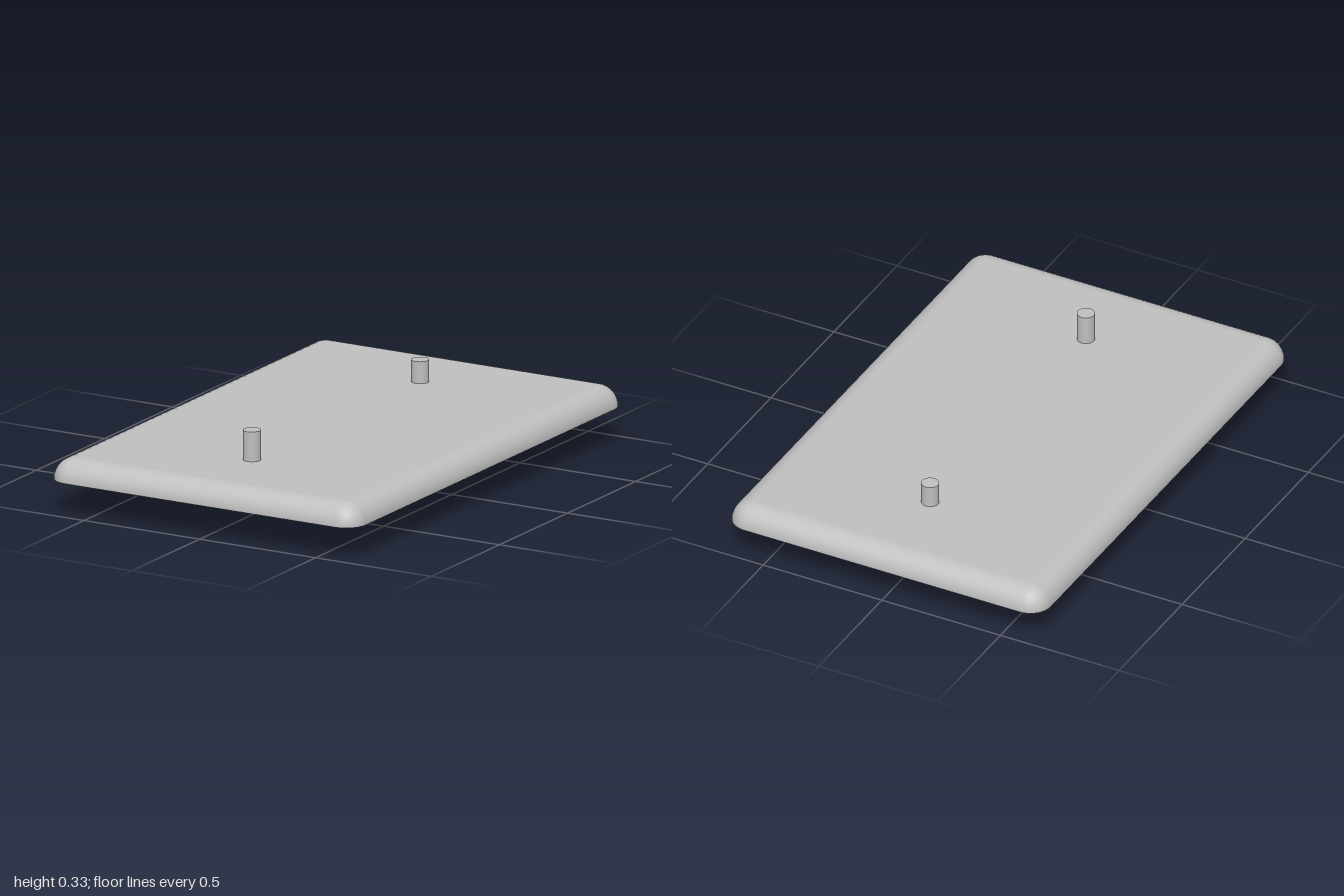
import * as THREE from 'three';

const BASE = 0.13;            // height of the rim
const R = 0.085, WALL = 0.03; // edge rounding and wall thickness
const CORE_X = 0.667 - R, CORE_Z = 1 - R;
const ARC = 8;                // segments per corner and per edge rounding

// Hollow rounded shell: each row is [radius, y, radial normal, vertical normal]
function shellGeometry() {
  const rows = [];
  for (let i = ARC; i >= 0; i--) { // outside, top to rim
    const t = (i / ARC) * Math.PI / 2, c = Math.cos(t), s = Math.sin(t);
    rows.push([R * c, BASE + R * s, c, s]);
  }
  rows.push([R, BASE, 0, -1], [R - WALL, BASE, 0, -1]); // rim underside
  for (let i = 0; i <= ARC; i++) { // inside, rim to ceiling
    const t = (i / ARC) * Math.PI / 2, c = Math.cos(t), s = Math.sin(t);
    rows.push([(R - WALL) * c, BASE + (R - WALL) * s, -c, -s]);
  }
  // Directions around the plate, one fan per corner
  const loop = [];
  [[1, 1], [-1, 1], [-1, -1], [1, -1]].forEach(([sx, sz], q) => {
    for (let i = 0; i <= ARC; i++) {
      const a = (q + i / ARC) * Math.PI / 2;
      loop.push([sx * CORE_X, sz * CORE_Z, Math.cos(a), Math.sin(a)]);
    }
  });
  const pos = [], nor = [], idx = [], n = loop.length;
  for (const [r, y, nr, ny] of rows) {
    for (const [x, z, dx, dz] of loop) {
      pos.push(x + r * dx, y, z + r * dz);
      nor.push(nr * dx, ny, nr * dz);
    }
  }
  for (let j = 0; j < rows.length - 1; j++) {
    if (j === ARC || j === ARC + 2) continue; // sharp edges share a position
    for (let i = 0; i < n; i++) {
      const k = (i + 1) % n;
      const a = j * n + i, b = j * n + k, c = a + n, d = b + n;
      idx.push(a, b, c, b, d, c);
    }
  }
  const g = new THREE.BufferGeometry();
  g.setAttribute('position', new THREE.Float32BufferAttribute(pos, 3));
  g.setAttribute('normal', new THREE.Float32BufferAttribute(nor, 3));
  g.setIndex(idx);
  return g;
}

export function createModel() {
  const model = new THREE.Group();
  model.name = 'coverPlate';
  const grey = new THREE.MeshStandardMaterial({ color: 0xc0c0c0 });
  grey.name = 'lightGrey';

  const add = (name, geometry, x = 0, y = 0, z = 0) => {
    const mesh = new THREE.Mesh(geometry, grey);
    mesh.name = name;
    mesh.position.set(x, y, z);
    model.add(mesh);
    return mesh;
  };

  // Plate: rounded edge, flat top and flat inner ceiling
  const ceiling = BASE + R - WALL;
  add('roundedEdge', shellGeometry());
  add('topFace', new THREE.PlaneGeometry(2 * CORE_X, 2 * CORE_Z).rotateX(-Math.PI / 2), 0, BASE + R, 0);
  add('innerCeiling', new THREE.PlaneGeometry(2 * CORE_X, 2 * CORE_Z).rotateX(Math.PI / 2), 0, ceiling, 0);

  // Round bosses under the plate, each with a pin running through
  for (const [side, z, bottom] of [['front', 0.617, 0.03], ['back', -0.617, 0]]) {
    add(side + 'Boss', new THREE.CylinderGeometry(0.228, 0.228, ceiling - BASE, 48), 0, (ceiling + BASE) / 2, z);
    add(side + 'Pin', new THREE.CylinderGeometry(0.034, 0.034, 0.3, 32), 0, bottom + 0.15, z);
  }
  return model;
}
